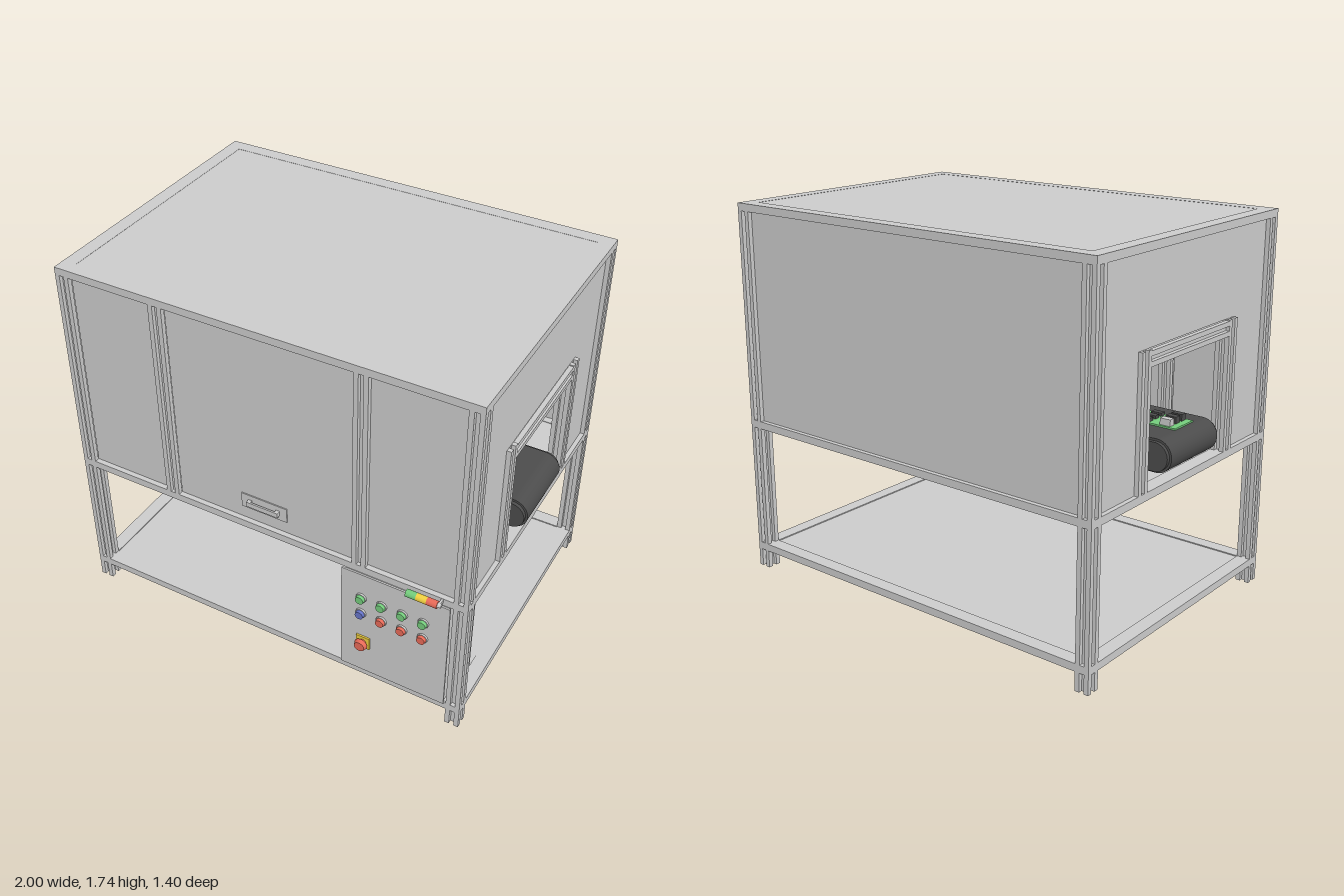
import * as THREE from 'three';

const mat = (c) => new THREE.MeshStandardMaterial({ color: c });
const GREY = mat(0xcccccc), DARK = mat(0x4c4c4c), BLUE = mat(0x6674c8), GREEN = mat(0x74cc7c),
  RED = mat(0xe86a58), YELLOW = mat(0xf0d040);

function add(parent, name, geo, material, x = 0, y = 0, z = 0) {
  const m = new THREE.Mesh(geo, material);
  m.name = name;
  m.position.set(x, y, z);
  parent.add(m);
  return m;
}
// Box given by its limits on each axis
function box(parent, name, [x0, x1], [y0, y1], [z0, z1], material = GREY) {
  return add(parent, name, new THREE.BoxGeometry(x1 - x0, y1 - y0, z1 - z0), material,
    (x0 + x1) / 2, (y0 + y1) / 2, (z0 + z1) / 2);
}
// Cylinder between two points
function rod(parent, name, a, b, r0, r1, material = GREY, sides = 24) {
  const p = new THREE.Vector3(...a), q = new THREE.Vector3(...b);
  const d = q.clone().sub(p);
  const m = add(parent, name, new THREE.CylinderGeometry(r1, r0, d.length(), sides), material);
  m.position.copy(p).add(q).multiplyScalar(0.5);
  m.quaternion.setFromUnitVectors(new THREE.Vector3(0, 1, 0), d.normalize());
  return m;
}

const P = 0.065; // extrusion width
// Square aluminium profile with a slot in each side
function profile(size = P) {
  const h = size / 2, s = 0.011, d = h - 0.018;
  const pts = [];
  for (let i = 0; i < 4; i++) {
    const a = i * Math.PI / 2, c = Math.cos(a), n = Math.sin(a);
    for (const [x, y] of [[h, -h], [h, -s], [d, -s], [d, s], [h, s]])
      pts.push(new THREE.Vector2(x * c - y * n, x * n + y * c));
  }
  return new THREE.Shape(pts);
}
function post(parent, name, x, z, y0, y1, size = P) {
  const g = new THREE.ExtrudeGeometry(profile(size), { depth: y1 - y0, bevelEnabled: false });
  g.rotateX(-Math.PI / 2);
  return add(parent, name, g, GREY, x, y0, z);
}

const X = 0.965, ZF = 0.65, ZB = -0.70, B = 0.035;

function buildFrame(root) {
  const g = new THREE.Group();
  g.name = 'frame';
  root.add(g);
  // Corner posts, broken by the beams at each level
  for (const sx of [-1, 1])
    for (const z of [ZF - P / 2, ZB + P / 2])
      for (const [y0, y1] of [[0, 0.085], [0.12, 0.70], [0.735, 1.705]])
        post(g, 'cornerPost', sx * (X - P / 2), z, y0, y1);
  // Rings of beams
  for (const y of [0.085, 0.70, 1.705]) {
    for (const z of [ZF - P, ZB]) box(g, 'longBeam', [-X, X], [y, y + B], [z, z + P]);
    for (const x of [-X, X - P]) box(g, 'crossBeam', [x, x + P], [y, y + B], [ZB + P, ZF - P]);
  }
  for (const x of [-0.468, 0.465]) post(g, 'frontMullion', x, ZF - P / 2, 0.735, 1.705);
  // Decks and roof
  box(g, 'lowerDeck', [-X + P, X - P], [0.088, 0.115], [ZB + P, ZF - P]);
  box(g, 'workDeck', [-X + P, X - P], [0.705, 0.732], [ZB + P, ZF - P]);
  box(g, 'roof', [-X + P, X - P], [1.71, 1.739], [ZB + P, ZF - P]);
}

function buildPanels(root) {
  const g = new THREE.Group();
  g.name = 'panels';
  root.add(g);
  const Y = [0.735, 1.705], f = [0.616, 0.626];
  box(g, 'frontLeftPanel', [0.495, 0.90], Y, f);
  box(g, 'frontRightPanel', [-0.90, -0.50], Y, f);
  box(g, 'frontDoor', [-0.436, 0.433], Y, f);
  box(g, 'backPanel', [-0.90, 0.90], Y, [-0.68, -0.67]);
  // Door handle on its plate
  box(g, 'handlePlate', [-0.115, 0.11], [0.797, 0.87], [0.626, 0.631]);
  box(g, 'handleBar', [-0.08, 0.075], [0.822, 0.846], [0.642, 0.65]);
  for (const x of [-0.08, 0.057]) box(g, 'handleFoot', [x, x + 0.018], [0.822, 0.846], [0.631, 0.643]);

  // Side panels notched around the conveyor openings
  const s = new THREE.Shape();
  [[ZB + P, 0.735], [-0.385, 0.735], [-0.385, 1.32], [0.345, 1.32], [0.345, 0.735],
    [ZF - P, 0.735], [ZF - P, 1.705], [ZB + P, 1.705]]
    .forEach(([z, y], i) => (i ? s.lineTo(z, y) : s.moveTo(z, y)));
  const geo = new THREE.ExtrudeGeometry(s, { depth: 0.01, bevelEnabled: false });
  geo.rotateY(-Math.PI / 2);
  for (const sx of [-1, 1]) {
    add(g, 'sidePanel', geo, GREY, sx > 0 ? 0.945 : -0.935);
    const x = sx * (X - P / 2);
    post(g, 'openingPost', x, 0.31, 0.735, 1.32);
    post(g, 'openingPost', x, -0.3525, 0.735, 1.32);
    const lintel = post(g, 'openingLintel', x, -0.32, 0, 0.5975);
    lintel.rotation.x = Math.PI / 2;
    lintel.position.y = 1.2825;
  }
}

function buildConveyor(root) {
  const g = new THREE.Group();
  g.name = 'conveyor';
  root.add(g);
  const loop = (name, r, z0, z1) => {
    const s = new THREE.Shape();
    s.absarc(0.928, 0, r, -Math.PI / 2, Math.PI / 2, false);
    s.absarc(-0.928, 0, r, Math.PI / 2, Math.PI * 1.5, false);
    add(g, name, new THREE.ExtrudeGeometry(s, { depth: z1 - z0, bevelEnabled: false, curveSegments: 24 }),
      DARK, 0, 0.847, z0);
  };
  loop('belt', 0.072, -0.203, 0.155);
  loop('sideRails', 0.062, -0.22, 0.172);
  // Cranked support feet on both sides
  const s = new THREE.Shape();
  [[0.19, 0.735], [0.25, 0.735], [0.25, 0.85], [0.21, 0.885], [0.11, 0.885], [0.11, 0.81], [0.18, 0.81], [0.19, 0.80]]
    .forEach(([z, y], i) => (i ? s.lineTo(z + 0.05, y) : s.moveTo(z + 0.05, y)));
  const foot = new THREE.ExtrudeGeometry(s, { depth: 0.06, bevelEnabled: false });
  for (const x of [-0.7, 0, 0.7])
    for (const side of [-1, 1]) {
      const m = add(g, 'supportFoot', foot, DARK, x - side * 0.03, 0, -0.025);
      m.rotation.y = side * -Math.PI / 2;
      m.position.x = x + side * 0.03;
    }
  // Circuit board riding on the belt
  box(g, 'circuitBoard', [-0.93, -0.70], [0.919, 0.926], [-0.07, 0.07], GREEN);
  for (const z of [-0.045, 0, 0.045]) {
    box(g, 'boardConnector', [-0.90, -0.85], [0.926, 0.955], [z - 0.015, z + 0.015], z < 0 ? GREY : DARK);
    box(g, 'boardChip', [-0.80, -0.75], [0.926, 0.94], [z - 0.014, z + 0.014], DARK);
  }
}

function buildRobot(root) {
  const g = new THREE.Group();
  g.name = 'robotArm';
  root.add(g);
  box(g, 'basePlate', [-0.13, 0.13], [0.732, 0.75], [-0.53, -0.25]);
  rod(g, 'base', [0, 0.75, -0.39], [0, 0.91, -0.39], 0.10, 0.09);
  rod(g, 'shoulder', [0, 0.91, -0.39], [0, 1.08, -0.39], 0.09, 0.09, BLUE);
  rod(g, 'shoulderJoint', [-0.08, 1.1, -0.39], [0.08, 1.1, -0.39], 0.08, 0.08, BLUE);
  rod(g, 'upperArm', [0, 1.1, -0.39], [0, 1.45, -0.34], 0.06, 0.055);
  rod(g, 'elbowJoint', [-0.075, 1.45, -0.34], [0.075, 1.45, -0.34], 0.075, 0.075, BLUE);
  rod(g, 'forearm', [0, 1.45, -0.34], [0, 1.33, 0.01], 0.055, 0.045);
  rod(g, 'wristJoint', [-0.06, 1.32, 0.01], [0.06, 1.32, 0.01], 0.06, 0.06, BLUE);
  rod(g, 'wrist', [0, 1.32, 0.01], [0, 1.20, 0.02], 0.065, 0.055, BLUE);
  rod(g, 'toolCollar', [0, 1.20, 0.02], [0, 1.15, 0.024], 0.055, 0.055);
  rod(g, 'toolBody', [0, 1.15, 0.024], [0, 1.08, 0.03], 0.042, 0.035);
  rod(g, 'toolNozzle', [0, 1.08, 0.03], [0, 1.05, 0.033], 0.015, 0.01);
  rod(g, 'toolTip', [0, 1.05, 0.033], [0, 0.985, 0.038], 0.004, 0.003, DARK, 10);
}

function buildControls(root) {
  const g = new THREE.Group();
  g.name = 'controlCabinet';
  root.add(g);
  box(g, 'cabinetBody', [0.41, 0.885], [0.12, 0.70], [0.42, 0.652]);
  box(g, 'cabinetDoor', [0.39, 0.892], [0.122, 0.698], [0.652, 0.66]);
  for (const x of [0.42, 0.87]) post(g, 'cabinetPost', x, 0.428, 0.12, 0.70, 0.056);

  // Push buttons
  const rows = [[0.565, [GREEN, GREEN, GREEN, GREEN]], [0.475, [BLUE, RED, RED, RED]]];
  for (const [y, colors] of rows)
    colors.forEach((c, i) => {
      const x = 0.487 + i * 0.097;
      rod(g, 'buttonBezel', [x, y, 0.66], [x, y, 0.668], 0.025, 0.024, GREY);
      rod(g, 'button', [x, y, 0.668], [x, y, 0.682], 0.021, 0.019, c);
    });
  // Emergency stop
  box(g, 'stopPlate', [0.468, 0.533], [0.273, 0.338], [0.66, 0.668], YELLOW);
  rod(g, 'stopStem', [0.5, 0.306, 0.668], [0.5, 0.306, 0.682], 0.018, 0.018, RED);
  rod(g, 'stopHead', [0.5, 0.306, 0.682], [0.5, 0.306, 0.70], 0.031, 0.024, RED);

  // Signal light lying along the front beam
  const y = 0.725, z = 0.682;
  [GREEN, YELLOW, RED].forEach((c, i) => {
    const x = 0.705 + i * 0.047;
    rod(g, 'signalLens', [x, y, z], [x + 0.047, y, z], 0.017, 0.017, c);
  });
  rod(g, 'signalBase', [0.846, y, z], [0.862, y, z], 0.012, 0.008);
  box(g, 'signalBracket', [0.846, 0.856], [0.717, 0.733], [0.65, 0.68]);
}

export function createModel() {
  const root = new THREE.Group();
  root.name = 'inspectionCell';
  buildFrame(root);
  buildPanels(root);
  buildConveyor(root);
  buildRobot(root);
  buildControls(root);
  return root;
}
